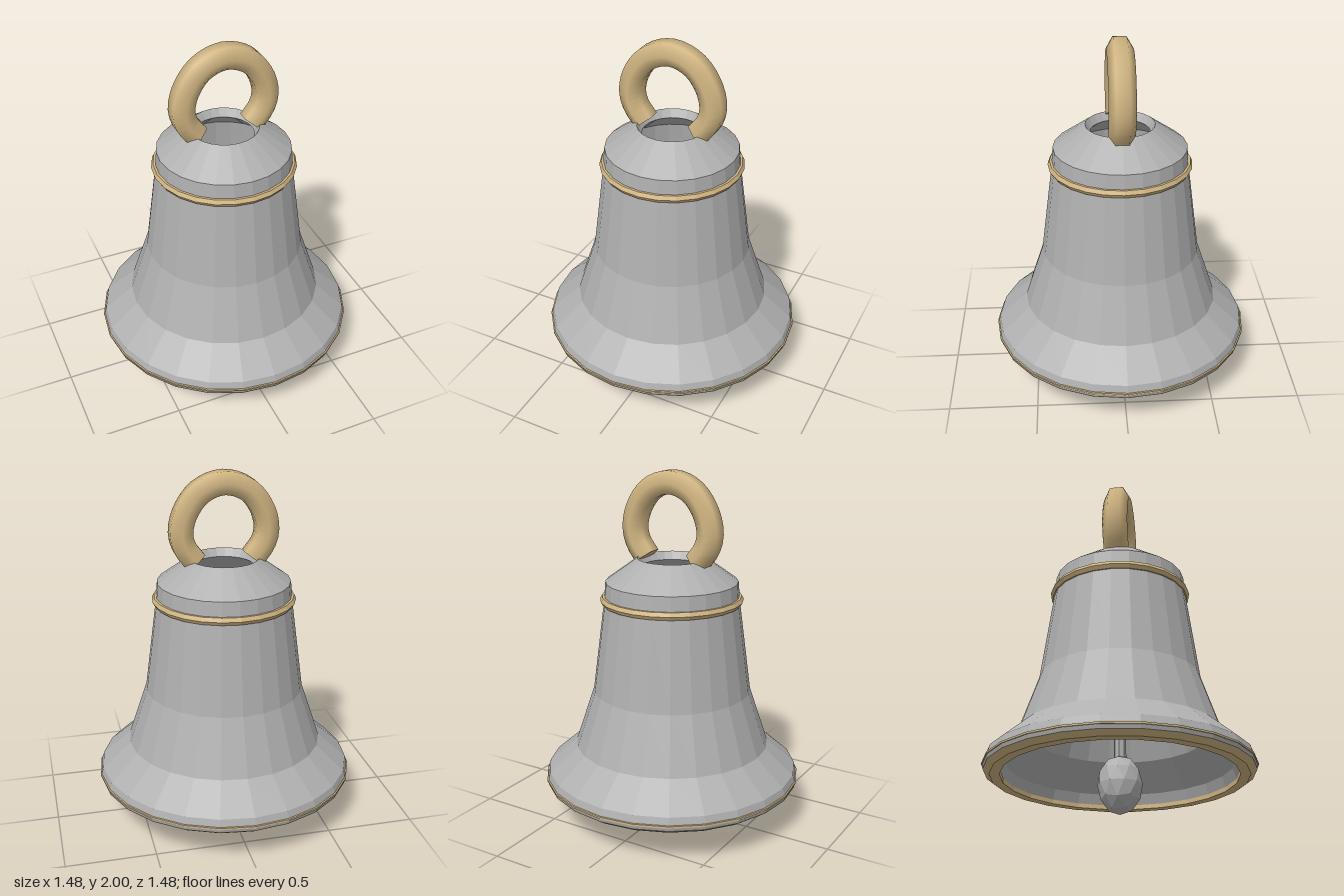
import * as THREE from 'three';

const silver = new THREE.MeshStandardMaterial({ color: 0xb0b0b0 });
silver.name = 'silver';
const brass = new THREE.MeshStandardMaterial({ color: 0xd0b582 });
brass.name = 'brass';

// Give every face its own normal for a low-poly look
function faceted(geometry) {
  const g = geometry.index ? geometry.toNonIndexed() : geometry;
  g.computeVertexNormals();
  return g;
}

// Closed ring turned from [radius, height] points, anticlockwise
function turned(points) {
  const profile = [...points, points[0]].map(([r, y]) => new THREE.Vector2(r, y));
  return faceted(new THREE.LatheGeometry(profile, 24));
}

function add(group, name, geometry, material) {
  const mesh = new THREE.Mesh(geometry, material);
  mesh.name = name;
  group.add(mesh);
  return mesh;
}

export function createModel() {
  const bell = new THREE.Group();
  bell.name = 'bell';

  // Hollow body, open at the crown and mouth
  add(bell, 'body', turned([
    [0.64, 0.222], [0.728, 0.222], [0.733, 0.24], [0.73, 0.262], [0.72, 0.297],
    [0.557, 0.44], [0.45, 0.76], [0.383, 1.265], [0.372, 1.39], [0.192, 1.52],
    [0.165, 1.475], [0.305, 1.36], [0.32, 1.26], [0.39, 0.76], [0.49, 0.44], [0.62, 0.28],
  ]), silver);

  // Brass trim
  add(bell, 'mouthRim', turned([
    [0.64, 0.197], [0.695, 0.197], [0.73, 0.222], [0.64, 0.222],
  ]), brass);
  add(bell, 'lowerBand', turned([
    [0.715, 0.241], [0.738, 0.244], [0.738, 0.254], [0.715, 0.26],
  ]), brass);
  add(bell, 'shoulderBand', turned([
    [0.36, 1.266], [0.39, 1.266], [0.403, 1.287], [0.392, 1.309], [0.36, 1.309],
  ]), brass);

  // Hanging loop: a six-sided tube over a horseshoe path
  const half = [[0.163, 1.512], [0.22, 1.59], [0.24, 1.67], [0.215, 1.78], [0.13, 1.892]];
  const path = new THREE.CatmullRomCurve3([
    ...half.map(([x, y]) => new THREE.Vector3(-x, y, 0)),
    new THREE.Vector3(0, 1.937, 0),
    ...half.map(([x, y]) => new THREE.Vector3(x, y, 0)).reverse(),
  ]);
  add(bell, 'loop', new THREE.TubeGeometry(path, 32, 0.073, 6), brass);
  for (const t of [0, 1]) {
    const cap = add(bell, 'loopEnd', new THREE.CircleGeometry(0.073, 6, Math.PI / 2), brass);
    const outward = path.getTangent(t).multiplyScalar(t ? 1 : -1);
    cap.position.copy(path.getPoint(t));
    // Keep a corner of the hexagon on the z axis
    const up = new THREE.Vector3(0, 0, 1);
    const side = new THREE.Vector3().crossVectors(up, outward);
    cap.quaternion.setFromRotationMatrix(new THREE.Matrix4().makeBasis(side, up, outward));
  }

  // Clapper
  const rod = add(bell, 'clapperRod',
    faceted(new THREE.CylinderGeometry(0.034, 0.034, 1.06, 8)), silver);
  rod.position.y = 0.82;
  const ball = new THREE.IcosahedronGeometry(0.122, 1);
  ball.rotateZ(Math.atan(2 / (1 + Math.sqrt(5)))); // a corner points straight down
  ball.scale(1, 1.33, 1);
  add(bell, 'clapperBall', faceted(ball), silver).position.y = 0.1625;

  return bell;
}
